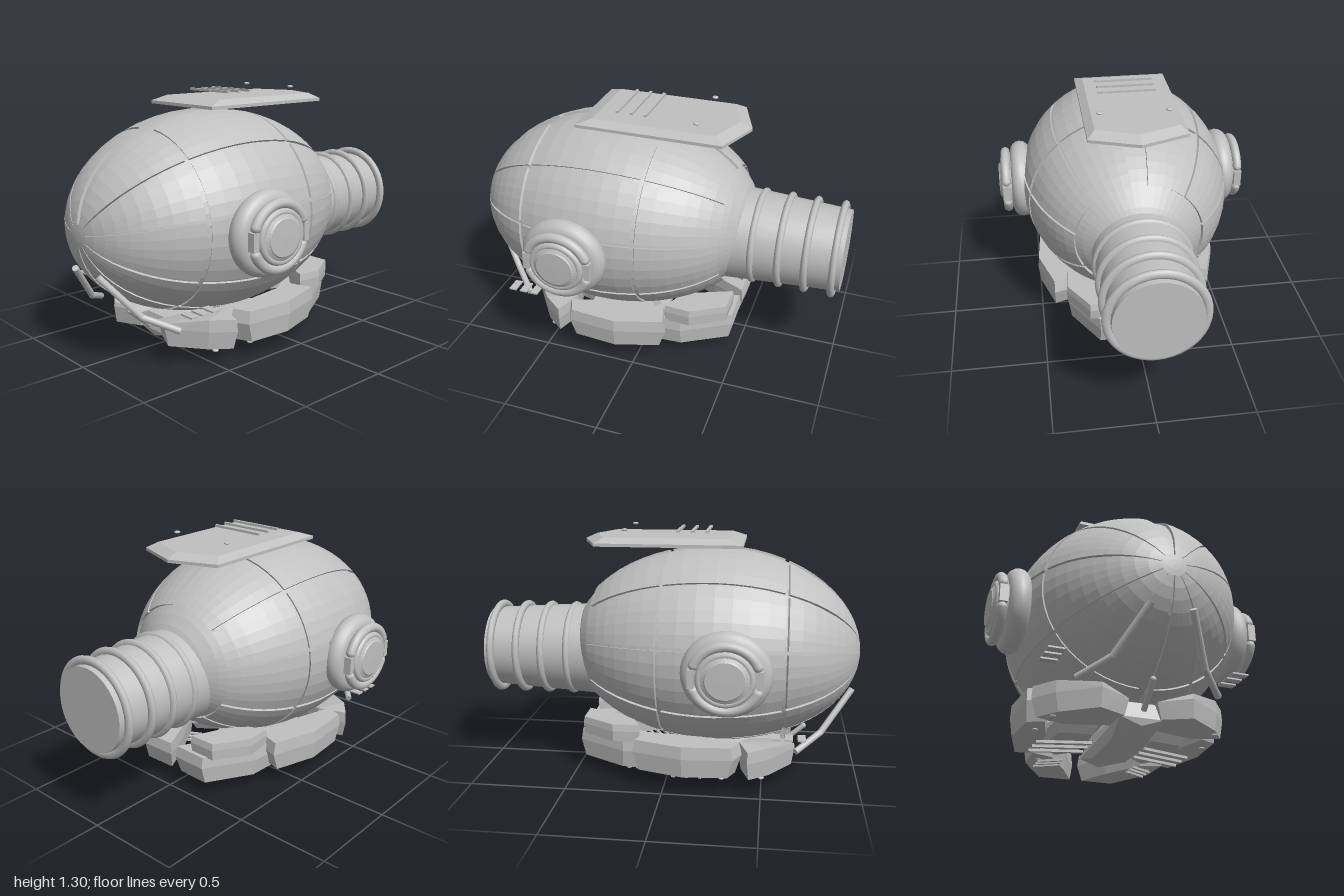
import * as THREE from 'three';
import { ConvexGeometry } from 'three/addons/geometries/ConvexGeometry.js';

const grey = new THREE.MeshStandardMaterial({ color: 0xc0c0c0 });
grey.name = 'metalGrey';

export function createModel() {
  const root = new THREE.Group();
  root.name = 'podVehicle';

  const add = (name, geo, x = 0, y = 0, z = 0, parent = root) => {
    const m = new THREE.Mesh(geo, grey);
    m.name = name;
    m.position.set(x, y, z);
    parent.add(m);
    return m;
  };
  const flat = (g) => {
    const n = g.index ? g.toNonIndexed() : g;
    n.computeVertexNormals();
    return n;
  };

  // ---- Egg hull: t is the angle from the top, p the angle from the nose ----
  const MID = 0.23, FRONT = 0.77, REAR = 0.78, RX = 0.565, RY = 0.52, CY = 0.68, DROOP = 0.025;
  const hullPoint = (t, p, k) => {
    const len = p < Math.PI / 2 ? FRONT : REAR;
    const s = Math.sin(p) * k;
    const cy = CY - DROOP * Math.max(0, Math.cos(p)) ** 2;
    return [RX * s * Math.sin(t), cy + RY * s * Math.cos(t), MID + len * Math.cos(p) * k];
  };
  const angleAt = (z) => Math.acos((z - MID) / (z > MID ? FRONT : REAR));

  // Curved patch of the hull, its rim turned inwards to depth kIn
  const patch = (t0, t1, p0, p1, k, kIn) => {
    const nt = Math.max(2, Math.round((t1 - t0) / 0.12));
    const np = Math.max(2, Math.round((p1 - p0) / 0.11));
    const pos = [], idx = [], w = nt + 3;
    for (let i = -1; i <= np + 1; i++) {
      for (let j = -1; j <= nt + 1; j++) {
        const ci = Math.min(np, Math.max(0, i)), cj = Math.min(nt, Math.max(0, j));
        const rim = ci !== i || cj !== j;
        pos.push(...hullPoint(t0 + (t1 - t0) * cj / nt, p0 + (p1 - p0) * ci / np, rim ? kIn : k));
      }
    }
    for (let i = 0; i < np + 2; i++) {
      for (let j = 0; j < nt + 2; j++) {
        const a = i * w + j, b = a + 1, c = a + w, d = c + 1;
        idx.push(a, b, c, b, d, c);
      }
    }
    const g = new THREE.BufferGeometry();
    g.setAttribute('position', new THREE.Float32BufferAttribute(pos, 3));
    g.setIndex(idx);
    return flat(g);
  };

  const INNER = 0.98, RIM = 0.978, TAU = Math.PI * 2;
  add('hullCore', patch(0, TAU, 0.001, Math.PI - 0.001, INNER, INNER));
  add('noseHub', patch(0, TAU, 0.001, 0.106, 1, RIM));

  // Raised panels between the seams, mirrored left and right
  const seams = [0, 43, 80, 120, 150, 180].map((d) => d * Math.PI / 180);
  const halfGap = [0.125, 0.02, 0.02, 0.02, 0.02, 0.04];
  const bands = [[0.106, angleAt(0.617)], [angleAt(0.597), angleAt(-0.01)], [angleAt(-0.03), angleAt(-0.405)]];
  for (const [p0, p1] of bands) {
    for (let i = 0; i < seams.length - 1; i++) {
      const a = seams[i] + halfGap[i], b = seams[i + 1] - halfGap[i + 1];
      add('hullPanel', patch(a, b, p0, p1, 1, RIM));
      add('hullPanel', patch(-b, -a, p0, p1, 1, RIM));
    }
  }

  // ---- Ribbed rear duct ----
  const duct = new THREE.CylinderGeometry(0.25, 0.213, 0.6, 32);
  duct.rotateX(Math.PI / 2);
  add('rearDuct', duct, 0, 0.625, -0.7);
  for (const z of [-0.545, -0.685, -0.82, -0.96]) {
    const ring = add('ductRing', new THREE.TorusGeometry(0.232, 0.023, 10, 40), 0, 0.625, z);
    ring.scale.z = 0.8;
  }

  // ---- Faceted slab from a convex outline; a third value sets a corner's own top ----
  const prism = (outline, y0, y1, inset0, inset1, yMid) => {
    const c = outline.reduce((s, p) => [s[0] + p[0] / outline.length, s[1] + p[1] / outline.length], [0, 0]);
    const ring = (y, k, isTop) => outline.map(([x, z, top = y1]) =>
      new THREE.Vector3(c[0] + (x - c[0]) * k, isTop ? top : Math.min(y, top), c[1] + (z - c[1]) * k));
    return flat(new ConvexGeometry([...ring(y0, inset0), ...ring(yMid, 1), ...ring(y1, inset1, true)]));
  };

  // ---- Roof plate with floating slats and bolts ----
  const roof = [[-0.245, 0.38], [0.245, 0.38], [0.245, -0.38], [0, -0.47], [-0.245, -0.38]];
  add('roofPlate', prism(roof, 1.217, 1.26, 1, 0.84, 1.233));
  for (const z of [0.04, 0.115, 0.19]) add('roofSlat', new THREE.BoxGeometry(0.3, 0.012, 0.015), 0, 1.288, z);
  for (const x of [-0.17, 0.17]) {
    const bolt = add('roofBolt', new THREE.SphereGeometry(0.016, 12, 8), x, 1.297, -0.23);
    bolt.scale.y = 0.45;
  }

  const rod = (name, a, b, r) => {
    const va = new THREE.Vector3(...a), vb = new THREE.Vector3(...b);
    const m = add(name, new THREE.CylinderGeometry(r, r, va.distanceTo(vb), 10));
    m.position.copy(va).add(vb).multiplyScalar(0.5);
    m.quaternion.setFromUnitVectors(new THREE.Vector3(0, 1, 0), vb.sub(va).normalize());
  };

  // ---- Everything paired, built for +x and -x ----
  for (const s of [1, -1]) {
    // Round side port, a little longer than tall: its own axis is z, turned to point outwards
    const port = new THREE.Group();
    port.name = 'sidePort';
    port.position.set(s * 0.57, 0.663, 0.325);
    port.rotation.y = s * Math.PI / 2;
    port.scale.x = 1.05;
    root.add(port);
    add('portCollar', new THREE.TorusGeometry(0.157, 0.055, 16, 40), 0, 0, 0, port);
    const base = new THREE.CylinderGeometry(0.15, 0.15, 0.1, 32).rotateX(Math.PI / 2);
    add('portBase', base, 0, 0, 0.02, port);
    for (const k of [0, 1]) {
      const arc = 2.3;
      const ring = add('portClampRing', new THREE.TorusGeometry(0.156, 0.025, 12, 28, arc), 0, 0, 0.083, port);
      ring.rotation.z = k * Math.PI + (Math.PI - arc) / 2;
      for (const e of [-1, 1]) {
        const a = ring.rotation.z + arc / 2 + e * arc / 2;
        add('clampEnd', new THREE.SphereGeometry(0.025, 12, 8), 0.156 * Math.cos(a), 0.156 * Math.sin(a), 0.083, port);
      }
      add('clampLatch', new THREE.BoxGeometry(0.03, 0.09, 0.04), k ? 0.155 : -0.155, 0, 0.083, port);
    }
    add('portInnerRing', new THREE.TorusGeometry(0.118, 0.018, 10, 36), 0, 0, 0.095, port);
    const lens = new THREE.LatheGeometry([[0.115, 0], [0.115, 0.045], [0.095, 0.055], [0.09, 0.06], [0, 0.062]]
      .map((p) => new THREE.Vector2(...p)), 32).rotateX(Math.PI / 2);
    add('portLens', flat(lens), 0, 0, 0.064, port);

    // Bent front struts
    const knee = [s * 0.22, 0.265, 0.8];
    rod('strutUpper', [s * 0.1, 0.47, 0.96], knee, 0.017);
    rod('strutLower', knee, [s * 0.345, 0.2, 0.67], 0.017);
    add('strutKnee', new THREE.SphereGeometry(0.017, 10, 8), ...knee);

    // Chunky belly armour
    const armour = (name, outline, y0, y1, in0 = 0.82, in1 = 0.92) =>
      add(name, prism(outline.map(([x, z, top]) => [s * x, z, top]), y0, y1, in0, in1, y0 + (y1 - y0) * 0.6));
    armour('frontArmour', [[0.07, 0.6, 0.165], [0.22, 0.67, 0.2], [0.4, 0.54, 0.235], [0.485, 0.43, 0.235],
      [0.33, 0.38, 0.235], [0.08, 0.44, 0.165]], 0.083, 0.235, 0.9, 0.98);
    armour('sideArmour', [[0.4, 0.4], [0.49, 0.36], [0.51, 0.1], [0.43, -0.16], [0.3, -0.12], [0.34, 0.2]], 0.095, 0.258, 0.88, 0.95);
    armour('rearUpperArmour', [[0.11, -0.45], [0.26, -0.45], [0.37, -0.27], [0.36, -0.13], [0.22, -0.19]], 0.22, 0.312, 0.96, 0.96);
    armour('rearLowerArmour', [[0.015, -0.47], [0.21, -0.475], [0.36, -0.22], [0.37, -0.02], [0.25, -0.06], [0.11, -0.28]], 0.075, 0.225, 0.9, 0.96);
    armour('bellyArmour', [[0.13, 0.36], [0.33, 0.33], [0.36, 0.06], [0.24, -0.08], [0.12, 0.02]], 0.075, 0.16);

    // Floating slats and bolts under the armour and beside the hull
    for (let i = 0; i < 3; i++) {
      const slat = add('bellySlat', new THREE.BoxGeometry(0.27, 0.014, 0.016), s * 0.265, 0.055, 0.08 + i * 0.07);
      slat.rotation.y = s * 0.25;
      const rearSlat = add('rearSlat', new THREE.BoxGeometry(0.13, 0.012, 0.014), s * 0.25, 0.055, -0.08 - i * 0.045);
      rearSlat.rotation.y = s * 0.5;
      add('cheekSlat', new THREE.BoxGeometry(0.08, 0.008, 0.04), s * 0.448, 0.312, 0.57 + i * 0.0625);
    }
    for (const [x, z] of [[0.43, 0.3], [0.4, 0.5], [0.3, -0.14]]) {
      const bolt = add('bellyBolt', new THREE.SphereGeometry(0.016, 10, 8), s * x, 0.073, z);
      bolt.scale.y = 0.45;
    }
  }

  // ---- Centre strut and keel ----
  rod('centreStrut', [0, 0.115, 0.6], [0, 0.22, 0.72], 0.014);
  add('centreStrutTip', new THREE.SphereGeometry(0.015, 10, 8), 0, 0.22, 0.72);
  const keel = [];
  for (const s of [1, -1]) {
    keel.push([s * 0.07, 0.165, 0.56], [s * 0.108, 0.085, 0.58], [s * 0.09, 0.03, 0.42], [s * 0.09, 0.022, 0.12],
      [s * 0.1, 0.07, -0.05], [s * 0.07, 0.165, 0.02]);
  }
  keel.push([0, 0.05, 0.57], [0, 0.015, 0.42], [0, 0, 0.27], [0, 0.008, 0.08], [0, 0.035, -0.05]);
  add('keel', flat(new ConvexGeometry(keel.map((p) => new THREE.Vector3(...p)))));

  return root;
}
